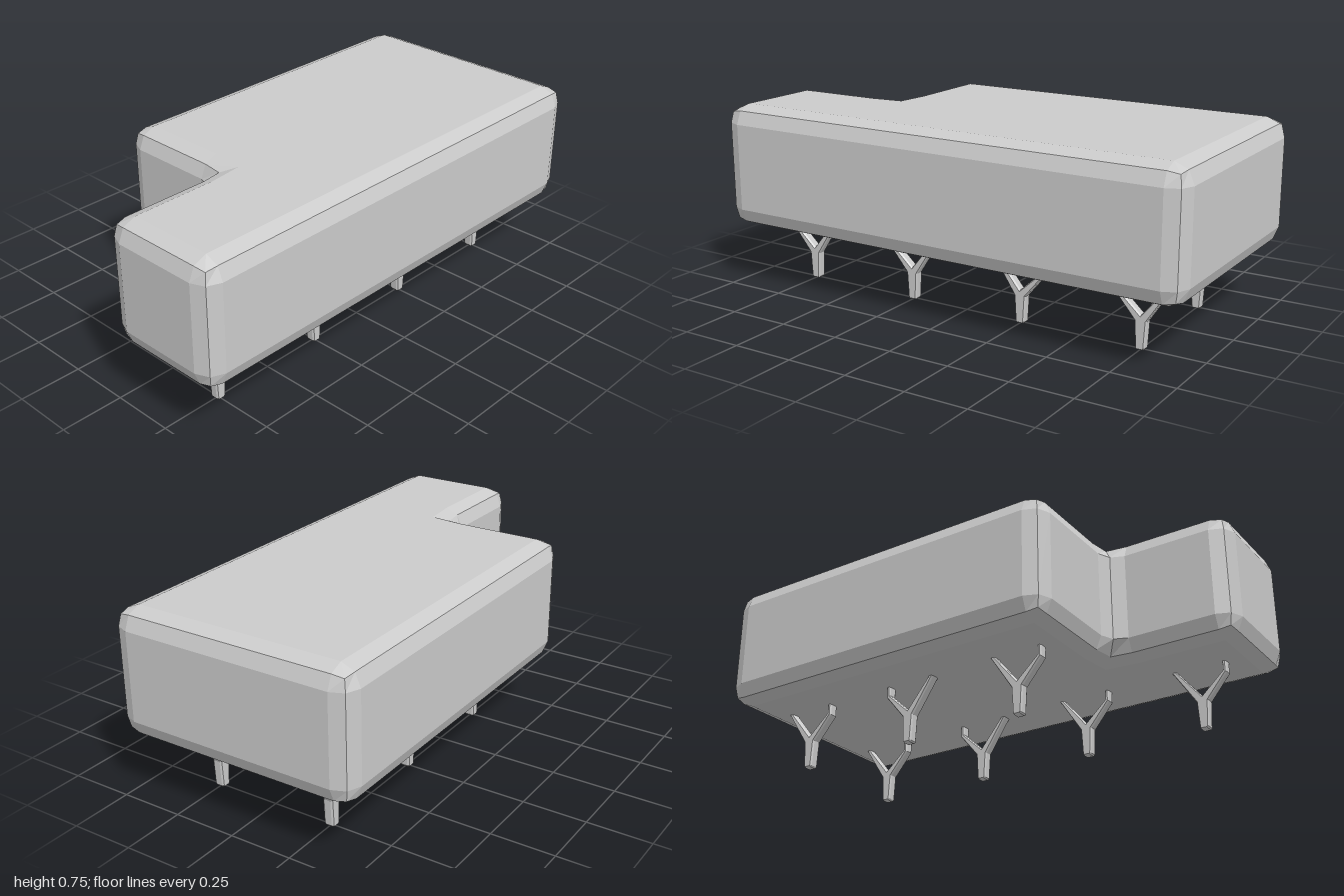
import * as THREE from 'three';

const material = new THREE.MeshStandardMaterial({ color: 0xcccccc, flatShading: true });
const R = 0.075; // bevel reach

// One ring of the L-shaped body: three points per corner, inset from the outline
function bodyRing({ y, inset, convex, concave, drop = 0 }) {
  const L = [[-0.5, 0.5], [0, 0.5], [0, 1], [0.5, 1], [0.5, -1], [-0.5, -1]]
    .map(([x, z]) => new THREE.Vector2(x, z));
  const ring = [];
  L.forEach((p, i) => {
    const d0 = p.clone().sub(L[(i + 5) % 6]).normalize();
    const d1 = L[(i + 1) % 6].clone().sub(p).normalize();
    const n0 = new THREE.Vector2(d0.y, -d0.x); // inward normals
    const n1 = new THREE.Vector2(d1.y, -d1.x);
    const isConcave = d0.dot(n1) > 0;
    const mid = isConcave ? concave : convex;
    const a = p.clone().addScaledVector(d0, -R).addScaledVector(n0, inset);
    const b = p.clone().addScaledVector(n0, mid).addScaledVector(n1, mid);
    const c = p.clone().addScaledVector(d1, R).addScaledVector(n1, inset);
    ring.push([a.x, y, a.y], [b.x, y + (isConcave ? 0 : drop), b.y], [c.x, y, c.y]);
  });
  return ring;
}

function bodyGeometry() {
  const rings = [
    { y: 0.25, inset: R, convex: R, concave: 0.06 },
    { y: 0.272, inset: 0.022, convex: 0.03, concave: 0.01, drop: 0.008 },
    { y: 0.325, inset: 0, convex: 0.022, concave: -0.022 },
    { y: 0.675, inset: 0, convex: 0.022, concave: -0.022 },
    { y: 0.728, inset: 0.022, convex: 0.03, concave: 0.01, drop: -0.008 },
    { y: 0.75, inset: R, convex: R, concave: 0.06 },
  ].map(bodyRing);
  const n = rings[0].length;
  const index = [];
  // Sides
  for (let j = 0; j < rings.length - 1; j++) {
    for (let i = 0; i < n; i++) {
      const k = (i + 1) % n;
      const a = j * n + i, b = j * n + k, c = b + n, d = a + n;
      index.push(a, b, c, a, c, d);
    }
  }
  // Top and bottom
  const top = (rings.length - 1) * n;
  const outline = rings[0].map(([x, , z]) => new THREE.Vector2(x, -z));
  for (const [a, b, c] of THREE.ShapeUtils.triangulateShape(outline, [])) {
    index.push(top + a, top + b, top + c, a, c, b);
  }
  const geometry = new THREE.BufferGeometry();
  geometry.setAttribute('position', new THREE.Float32BufferAttribute(rings.flat(2), 3));
  geometry.setIndex(index);
  const flat = geometry.toNonIndexed();
  flat.computeVertexNormals();
  return flat;
}

// Forked leg: tapered stem, one bent branch (+z) and one straight branch (-z)
function legGeometry() {
  const shape = new THREE.Shape([
    [-0.013, 0], [0.013, 0], [0.018, 0.006], [0.024, 0.11],
    [0.105, 0.206], [0.105, 0.26], [0.09, 0.26], [0.09, 0.214],
    [0, 0.132], [-0.105, 0.26], [-0.122, 0.26], [-0.024, 0.11], [-0.018, 0.006],
  ].map(([u, v]) => new THREE.Vector2(u, v)));
  const depth = 0.024, bevel = 0.008;
  const geometry = new THREE.ExtrudeGeometry(shape, {
    depth, bevelEnabled: true, bevelSegments: 1,
    bevelThickness: bevel, bevelSize: 0.004, bevelOffset: -0.004,
  });
  return geometry.translate(0, 0, -depth / 2).rotateY(-Math.PI / 2);
}

export function createModel() {
  const model = new THREE.Group();
  model.name = 'lShapedBlock';

  const body = new THREE.Mesh(bodyGeometry(), material);
  body.name = 'body';
  model.add(body);

  // Two rows of legs; the shorter right side has no front leg
  const legShape = legGeometry();
  for (const x of [-0.25, 0.25]) {
    for (const z of [-0.75, -0.25, 0.25, 0.75]) {
      if (x < 0 && z > 0.5) continue;
      const leg = new THREE.Mesh(legShape, material);
      leg.name = 'leg';
      leg.position.set(x, 0, z);
      if (z === -0.25) leg.rotation.y = Math.PI;
      model.add(leg);
    }
  }
  return model;
}
